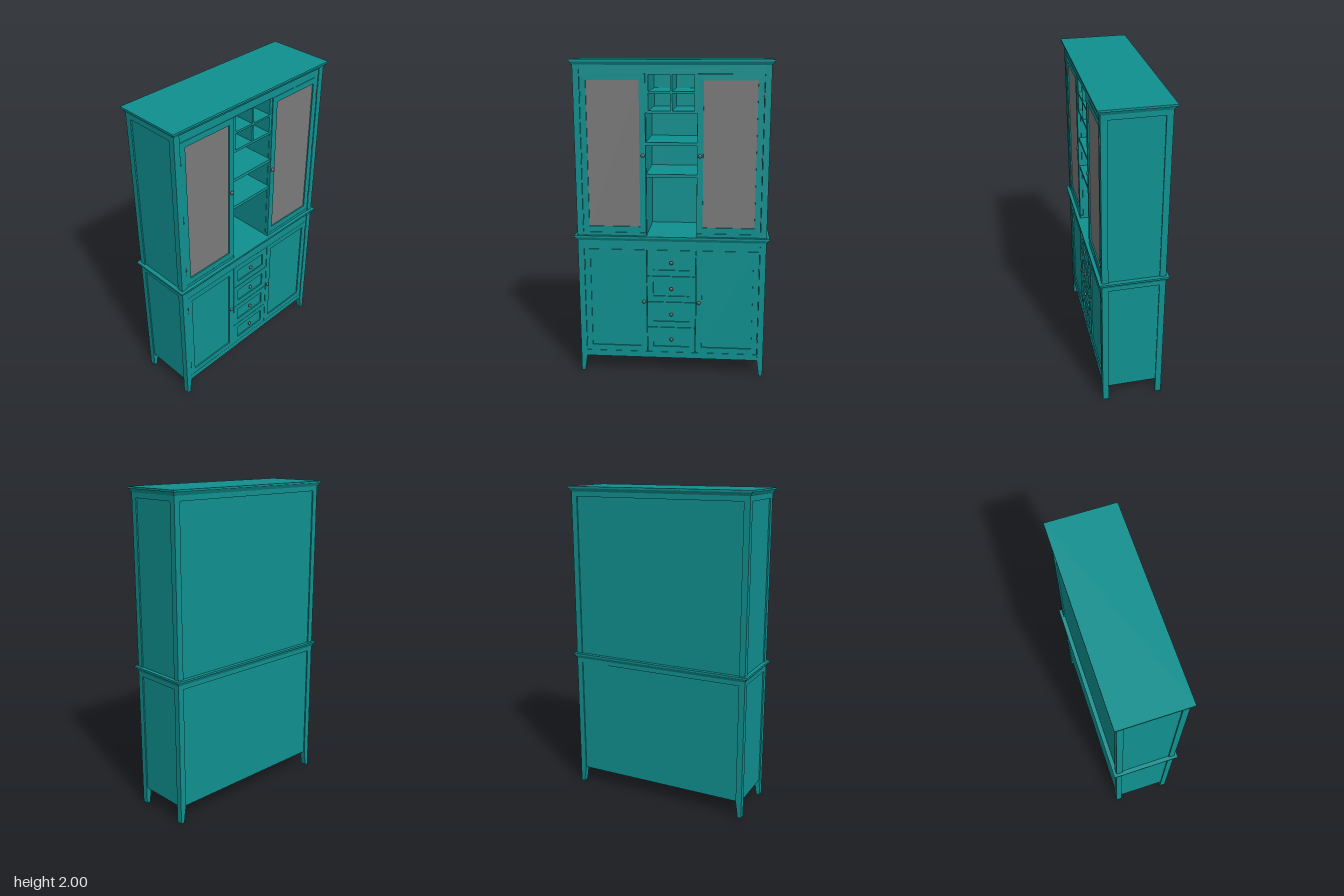
import * as THREE from 'three';

const teal = new THREE.MeshStandardMaterial({ color: 0x109090 });
const grey = new THREE.MeshStandardMaterial({ color: 0x7a7a7a });
const metal = new THREE.MeshStandardMaterial({ color: 0x6a5a5a });

const W = 0.59, D = 0.192, POST = 0.038; // half width, half depth, post size
const FACE = 0.188;                      // front plane of doors and drawers
const BACK = -D + 0.008;                 // recessed back panel plane

export function createModel() {
  const root = new THREE.Group();

  function add(name, geo, mat = teal, parent = root) {
    const m = new THREE.Mesh(geo, mat);
    m.name = name;
    parent.add(m);
    return m;
  }
  // box given by its limits
  function box(name, x0, x1, y0, y1, z0, z1, mat = teal, parent = root) {
    const m = add(name, new THREE.BoxGeometry(x1 - x0, y1 - y0, z1 - z0), mat, parent);
    m.position.set((x0 + x1) / 2, (y0 + y1) / 2, (z0 + z1) / 2);
    return m;
  }
  // raised frame around a recessed panel
  function framedPanel(name, x0, x1, y0, y1, inset, panelMat = teal) {
    const g = new THREE.Group();
    g.name = name;
    root.add(g);
    const gap = 0.0015;
    x0 += gap; x1 -= gap; y0 += gap; y1 -= gap;
    const s = new THREE.Shape();
    s.moveTo(x0, y0); s.lineTo(x1, y0); s.lineTo(x1, y1); s.lineTo(x0, y1); s.closePath();
    const h = new THREE.Path();
    h.moveTo(x0 + inset, y0 + inset); h.lineTo(x0 + inset, y1 - inset);
    h.lineTo(x1 - inset, y1 - inset); h.lineTo(x1 - inset, y0 + inset); h.closePath();
    s.holes.push(h);
    const frame = add('frame', new THREE.ExtrudeGeometry(s, { depth: 0.02, bevelEnabled: false }), teal, g);
    frame.position.z = FACE - 0.02;
    box('panel', x0 + inset, x1 - inset, y0 + inset, y1 - inset, FACE - 0.018, FACE - 0.008, panelMat, g);
  }
  function knob(x, y) {
    const k = add('knob', new THREE.SphereGeometry(0.012, 16, 10), metal);
    k.scale.z = 0.7;
    k.position.set(x, y, FACE + 0.003);
  }
  function hinge(x, y) {
    const h = add('hinge', new THREE.CylinderGeometry(0.003, 0.003, 0.05, 8), metal);
    h.position.set(x, y, FACE + 0.002);
  }
  // overhanging slab on a flared moulding
  function cornice(name, top) {
    box(name + 'Slab', -0.608, 0.608, top - 0.012, top, -0.21, 0.21);
    const geo = new THREE.BoxGeometry(1, 0.02, 1).toNonIndexed();
    const p = geo.attributes.position;
    for (let i = 0; i < p.count; i++) {
      const flare = p.getY(i) > 0 ? 0.013 : 0.003;
      p.setX(i, Math.sign(p.getX(i)) * (W + flare));
      p.setZ(i, Math.sign(p.getZ(i)) * (D + flare));
    }
    geo.computeVertexNormals();
    add(name + 'Moulding', geo).position.y = top - 0.022;
  }

  // carcass of each half: posts, side and back panels, rails
  const halves = [
    { name: 'lower', y0: 0.105, y1: 0.9, doorBottom: 0.145, doorTop: 0.835 },
    { name: 'upper', y0: 0.925, y1: 1.972, doorBottom: 0.945, doorTop: 1.918 },
  ];
  for (const { name, y0, y1, doorBottom, doorTop } of halves) {
    for (const s of [-1, 1]) {
      const span = (a, b) => (s > 0 ? [a, b] : [-b, -a]);
      for (const z of [-D, D - POST]) box(name + 'Post', ...span(W - POST, W), y0, y1, z, z + POST);
      box(name + 'SidePanel', ...span(W - 0.024, W - 0.008), y0, y1, -D + POST, D - POST);
      box(name + 'SideRail', ...span(W - POST, W), y1 - 0.035, y1, -D + POST, D - POST);
      box(name + 'Partition', ...span(0.155, 0.168), y0, doorTop, BACK + 0.01, FACE - 0.021);
    }
    box(name + 'BackPanel', -W + POST, W - POST, y0, y1, BACK, BACK + 0.012);
    box(name + 'BackRail', -W + POST, W - POST, y1 - 0.035, y1, -D, BACK);
    box(name + 'TopRail', -W + POST, W - POST, doorTop, y1, D - 0.03, FACE);
    for (const s of [-1, 1]) {
      const a = s > 0 ? 0.155 : -W + POST, b = s > 0 ? W - POST : -0.155;
      box(name + 'BottomRail', a, b, y0, doorBottom, D - 0.03, FACE);
      framedPanel(name + 'Door', a, b, doorBottom, doorTop, 0.037, name === 'upper' ? grey : teal);
    }
  }
  box('lowerCentreRail', -0.155, 0.155, 0.105, 0.145, D - 0.03, FACE);
  box('floor', -W + 0.02, W - 0.02, 0.107, 0.122, BACK, FACE - 0.004);
  cornice('waist', 0.925);
  cornice('crown', 2.0);

  // legs, tapering on the inner side
  for (const sx of [-1, 1]) for (const sz of [-1, 1]) {
    const geo = new THREE.BoxGeometry(POST, 0.105, POST).toNonIndexed();
    const p = geo.attributes.position;
    for (let i = 0; i < p.count; i++) {
      if (p.getY(i) < 0 && p.getX(i) * sx < 0) p.setX(i, p.getX(i) + sx * 0.015);
    }
    geo.computeVertexNormals();
    add('leg', geo).position.set(sx * (W - POST / 2), 0.0525, sz * (D - POST / 2));
  }

  // four drawers
  const step = (0.835 - 0.145) / 4;
  for (let i = 0; i < 4; i++) {
    const y = 0.145 + i * step;
    framedPanel('drawer', -0.155, 0.155, y, y + step, 0.038);
    knob(0, y + step / 2 + 0.003);
  }

  // open shelves
  const zBack = BACK + 0.01, zFront = FACE - 0.006;
  for (const y of [1.305, 1.5]) box('shelf', -0.157, 0.157, y - 0.01, y + 0.01, zBack, zFront);

  // pigeonholes
  box('pigeonholeBase', -0.157, 0.157, 1.685, 1.7, zBack, zFront);
  box('pigeonholeTop', -0.157, 0.157, 1.913, 1.925, zBack, zFront);
  box('pigeonholeShelf', -0.14, 0.14, 1.803, 1.815, zBack, zFront);
  box('pigeonholeDivider', -0.006, 0.006, 1.7, 1.913, zBack, zFront);
  for (const x of [-0.157, 0.138]) box('pigeonholeSide', x, x + 0.019, 1.7, 1.913, zBack, zFront);

  // door hardware
  for (const s of [-1, 1]) {
    for (const y of [0.49, 1.43]) knob(s * 0.174, y);
    for (const y of [0.245, 0.735, 1.05, 1.43, 1.81]) hinge(s * (W - POST - 0.002), y);
  }
  return root;
}
